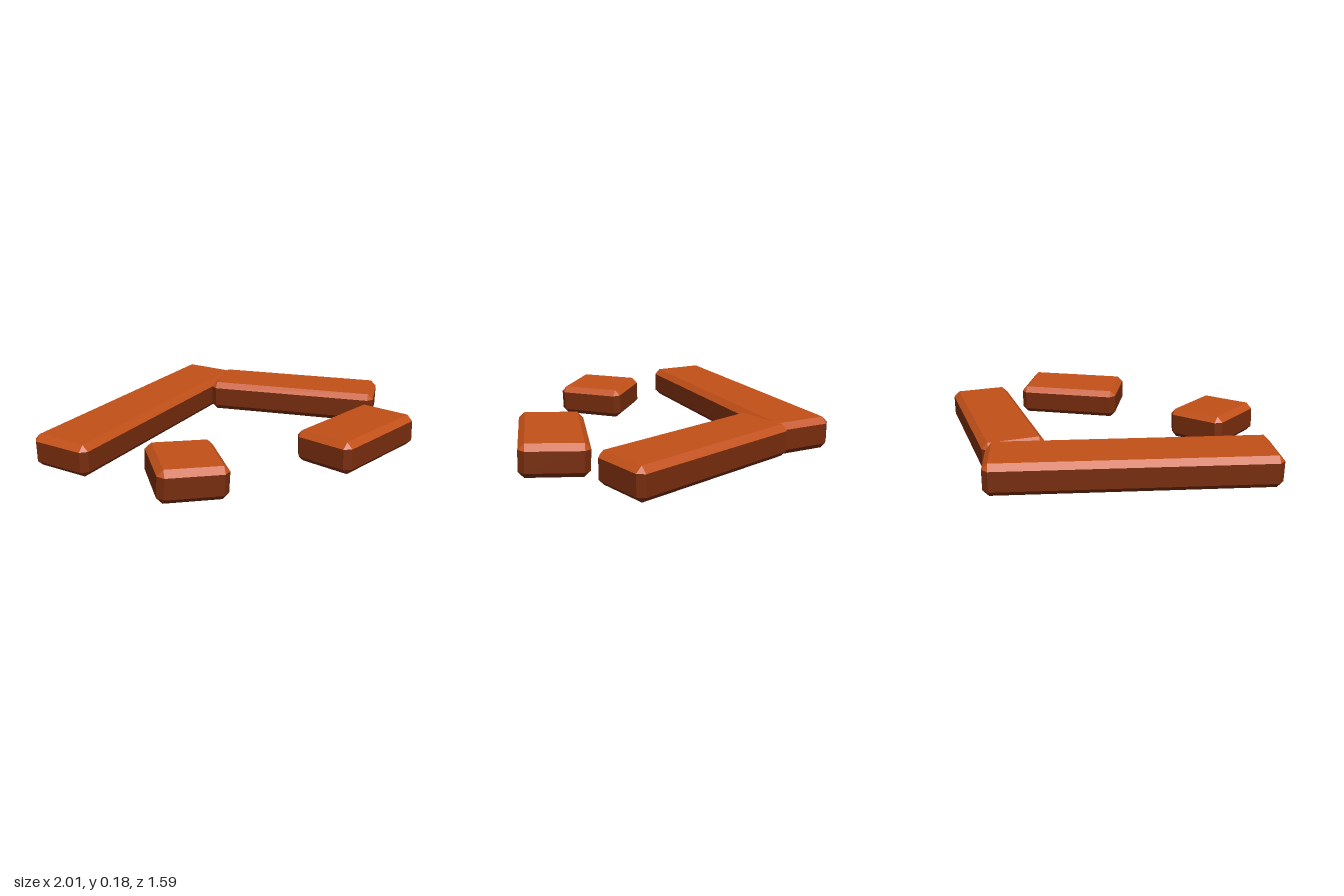
import * as THREE from 'three';

const HEIGHT = 0.165;
const BEVEL = 0.03;

// Rectangle ring with cut corners; inset shrinks the rectangle, cut trims its corners
function ring(w, d, y, inset, cut) {
  const x = w / 2 - inset, z = d / 2 - inset;
  return [
    [x - cut, z], [x, z - cut], [x, -z + cut], [x - cut, -z],
    [-x + cut, -z], [-x, -z + cut], [-x, z - cut], [-x + cut, z],
  ].map(([px, pz]) => new THREE.Vector3(px, y, pz));
}

// Bevelled plank shell, open underneath: group 0 is the dark sides, group 1 the bright top and its bevel
function plankGeometry(w, d) {
  const h = HEIGHT / 2;
  const rings = [
    ring(w, d, -h, BEVEL, 0),
    ring(w, d, -h + BEVEL, 0, BEVEL),
    ring(w, d, h - BEVEL, 0, BEVEL),
    ring(w, d, h, BEVEL, 0),
  ];
  const points = [];
  const tri = (a, b, c) => {
    const area = b.clone().sub(a).cross(c.clone().sub(a)).length();
    if (area > 1e-7) points.push(a, b, c);
  };
  const band = (low, high) => {
    for (let i = 0; i < 8; i++) {
      const j = (i + 1) % 8;
      tri(low[i], low[j], high[j]);
      tri(low[i], high[j], high[i]);
    }
  };
  band(rings[0], rings[1]);
  band(rings[1], rings[2]);
  const sideCount = points.length;
  band(rings[2], rings[3]);
  for (let i = 1; i < 7; i++) tri(rings[3][0], rings[3][i], rings[3][i + 1]);

  const geometry = new THREE.BufferGeometry().setFromPoints(points);
  geometry.addGroup(0, sideCount, 0);
  geometry.addGroup(sideCount, points.length - sideCount, 1);
  geometry.computeVertexNormals();
  return geometry;
}

function woodMaterial(name, color) {
  const material = new THREE.MeshStandardMaterial({ color, flatShading: true, side: THREE.DoubleSide });
  material.name = name;
  return material;
}

export function createModel() {
  const group = new THREE.Group();
  group.name = 'scatteredPlanks';
  const materials = [woodMaterial('darkWood', 0x762c0d), woodMaterial('brightWood', 0xc25018)];

  // size, centre, heading and slight tilt (degrees) of each plank
  const planks = [
    { name: 'longPlank', size: [1.44, 0.333], at: [-0.29, 0.0925, -0.354], turn: 25, tilt: [0, 0] },
    { name: 'mediumPlank', size: [0.95, 0.325], at: [0.594, 0.0925, -0.118], turn: -49.5, tilt: [0, 0] },
    { name: 'shortPlank', size: [0.588, 0.332], at: [0.422, 0.091, 0.584], turn: 10, tilt: [-3, 0] },
    { name: 'plankChunk', size: [0.335, 0.375], at: [-0.51, 0.091, 0.424], turn: -19.5, tilt: [0, -3] },
  ];
  const rad = THREE.MathUtils.degToRad;
  for (const { name, size, at, turn, tilt } of planks) {
    const mesh = new THREE.Mesh(plankGeometry(...size), materials);
    mesh.name = name;
    mesh.position.set(...at);
    mesh.rotation.set(rad(tilt[0]), rad(turn), rad(tilt[1]), 'YXZ');
    group.add(mesh);
  }
  return group;
}
